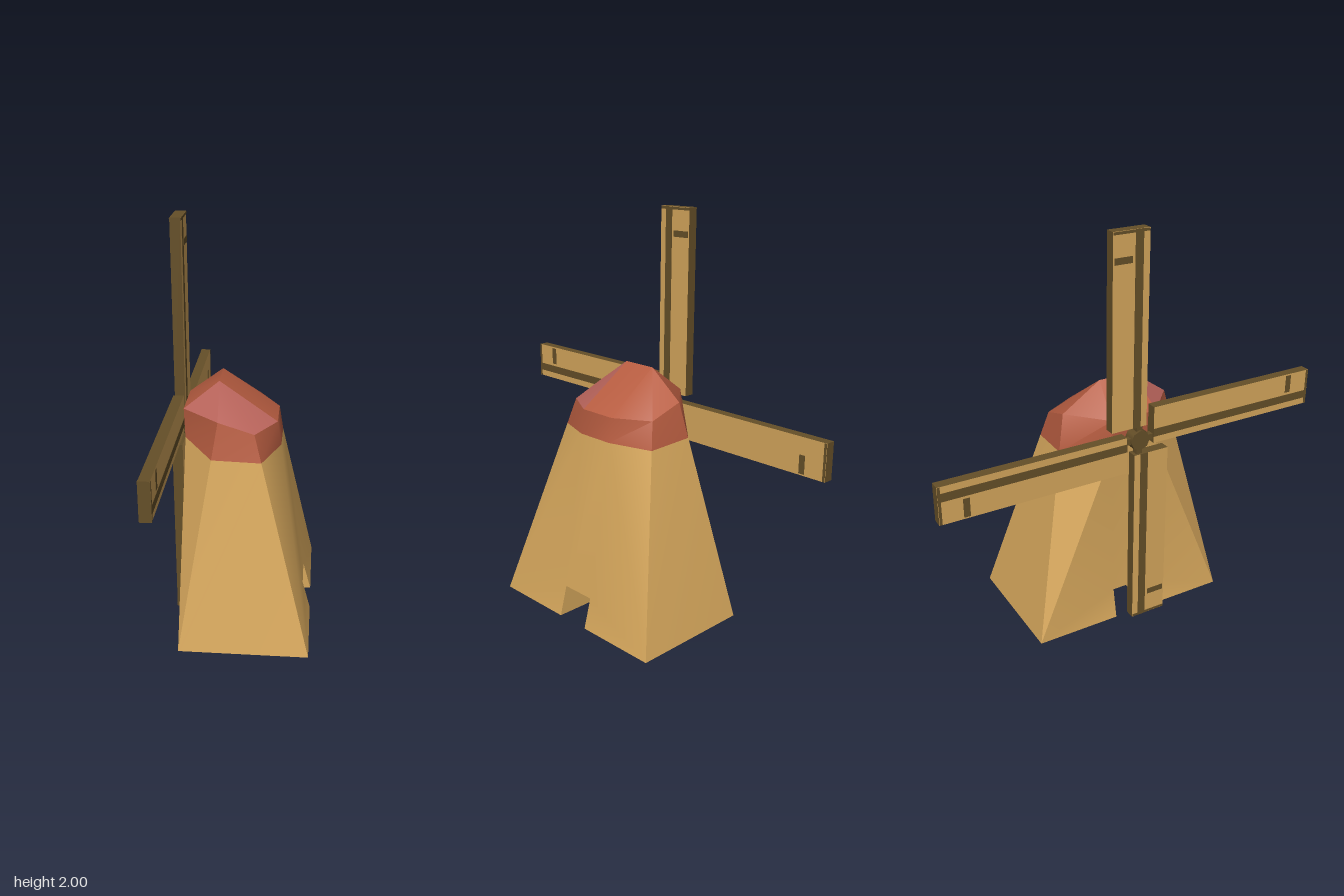
import * as THREE from 'three';
import { toCreasedNormals } from 'three/addons/utils/BufferGeometryUtils.js';

const material = (name, color) => {
  const m = new THREE.MeshStandardMaterial({ color });
  m.name = name;
  return m;
};

// Fan-triangulates convex faces, with soft normals over shallow creases
function faceted(name, faces, mat) {
  const pos = [];
  for (const f of faces)
    for (let i = 1; i < f.length - 1; i++)
      for (const p of [f[0], f[i], f[i + 1]]) pos.push(p.x, p.y, p.z);
  const g = new THREE.BufferGeometry();
  g.setAttribute('position', new THREE.Float32BufferAttribute(pos, 3));
  const mesh = new THREE.Mesh(toCreasedNormals(g, 0.6), mat);
  mesh.name = name;
  return mesh;
}

const V = (x, y, z) => new THREE.Vector3(x, y, z);
const mirror = (p) => V(p.x, p.y, -p.z);
// Each face plus its reversed reflection across z
const bothHalves = (faces) => [...faces, ...faces.map((f) => f.map(mirror).reverse())];
// Point on a wall edge at the height where the tower turns into the cap
const atCap = (a, b, y) => a.clone().lerp(b, (y - a.y) / (b.y - a.y));

export function createModel() {
  const model = new THREE.Group();
  model.name = 'windmill';
  const tan = material('tan', 0xd6a75c);
  const red = material('brickRed', 0xb65c40);
  const pink = material('palePinkRed', 0xb9645b);
  const brown = material('darkBrown', 0x654f28);

  // Front half of the tower: base corners, passage corners, eaves and ridge
  const A = V(-0.29, 0, 0.515), B = V(0.34, 0, 0.515);
  const C = V(0.34, 0, 0.09), D = V(-0.29, 0, 0.09);
  const E = V(0.3, 0.15, 0.09), F = V(-0.26, 0.15, 0.09);
  const f1 = V(-0.11, 1.11, 0.28), f2 = V(0.06, 1.05, 0.27);
  const r = V(0.16, 1.05, 0.1), l = V(-0.29, 1.11, 0.12);
  const ridge = V(-0.12, 1.245, 0.09);
  const m1 = atCap(A, f1, 0.935), m2 = atCap(B, f2, 0.92);
  const mr = atCap(E, r, 0.93), ml = atCap(F, l, 0.96);

  // Tower with a passage running through its foot
  model.add(faceted('tower', [
    ...bothHalves([
      [A, B, m2, m1],
      [B, E, mr], [B, mr, m2], [B, C, E],
      [A, m1, ml], [A, ml, F], [A, F, D],
      [C, D, F, E],
      [D, C, B, A],
    ]),
    [E, mirror(E), mirror(mr), mr],
    [mirror(F), F, ml, mirror(ml)],
    [mirror(F), mirror(E), E, F],
  ], tan));

  // Cap: short walls under a ridged roof
  const roofEnd = [[f1, f2, ridge], [f2, r, ridge], [l, f1, ridge]];
  model.add(faceted('cap', [
    ...bothHalves([[m1, m2, f2, f1], [m2, mr, r, f2], [ml, m1, f1, l]]),
    [mr, mirror(mr), mirror(r), r],
    [mirror(ml), ml, l, mirror(l)],
    [r, mirror(r), mirror(ridge), ridge],
    [mirror(l), l, ridge, mirror(ridge)],
    ...roofEnd.map((f) => f.map(mirror).reverse()),
  ], red));
  model.add(faceted('roofFront', roofEnd, pink));

  // Sails: four offset blades round the hub
  const sails = new THREE.Group();
  sails.name = 'sails';
  sails.position.set(-0.32, 1.005, 0);
  const box = (parent, name, size, at, mat) => {
    const mesh = new THREE.Mesh(new THREE.BoxGeometry(...size), mat);
    mesh.name = name;
    mesh.position.set(...at);
    parent.add(mesh);
  };
  const bladeMats = [tan, tan, brown, brown, brown, brown];
  for (let i = 0; i < 4; i++) {
    const sail = new THREE.Group();
    sail.name = 'sail' + (i + 1);
    sail.rotation.x = (i * Math.PI) / 2;
    box(sail, 'blade', [0.05, 0.92, 0.183], [0, 0.532, -0.061], bladeMats);
    // Painted spar, cross bar and tip edge on both broad faces
    for (const side of [-1, 1]) {
      const x = side * 0.025;
      if (side < 0 || i < 2)
        box(sail, 'spar', [0.004, 0.92, 0.04], [x, 0.531, -0.022], brown);
      box(sail, 'crossBar', [0.004, 0.03, 0.09], [x, 0.865, -0.1], brown);
      box(sail, 'tipEdge', [0.004, 0.012, 0.18], [x, 0.984, -0.061], brown);
    }
    sails.add(sail);
  }
  const hub = new THREE.Mesh(new THREE.CylinderGeometry(0.05, 0.05, 0.06, 8), brown);
  hub.name = 'hub';
  hub.rotation.z = Math.PI / 2;
  hub.position.x = 0.004;
  sails.add(hub);
  // Short arms joining the hub to the blades
  box(sails, 'uprightArm', [0.03, 0.2, 0.03], [0, 0, 0], brown);
  box(sails, 'levelArm', [0.03, 0.03, 0.2], [0, 0, 0], brown);
  model.add(sails);

  return model;
}
